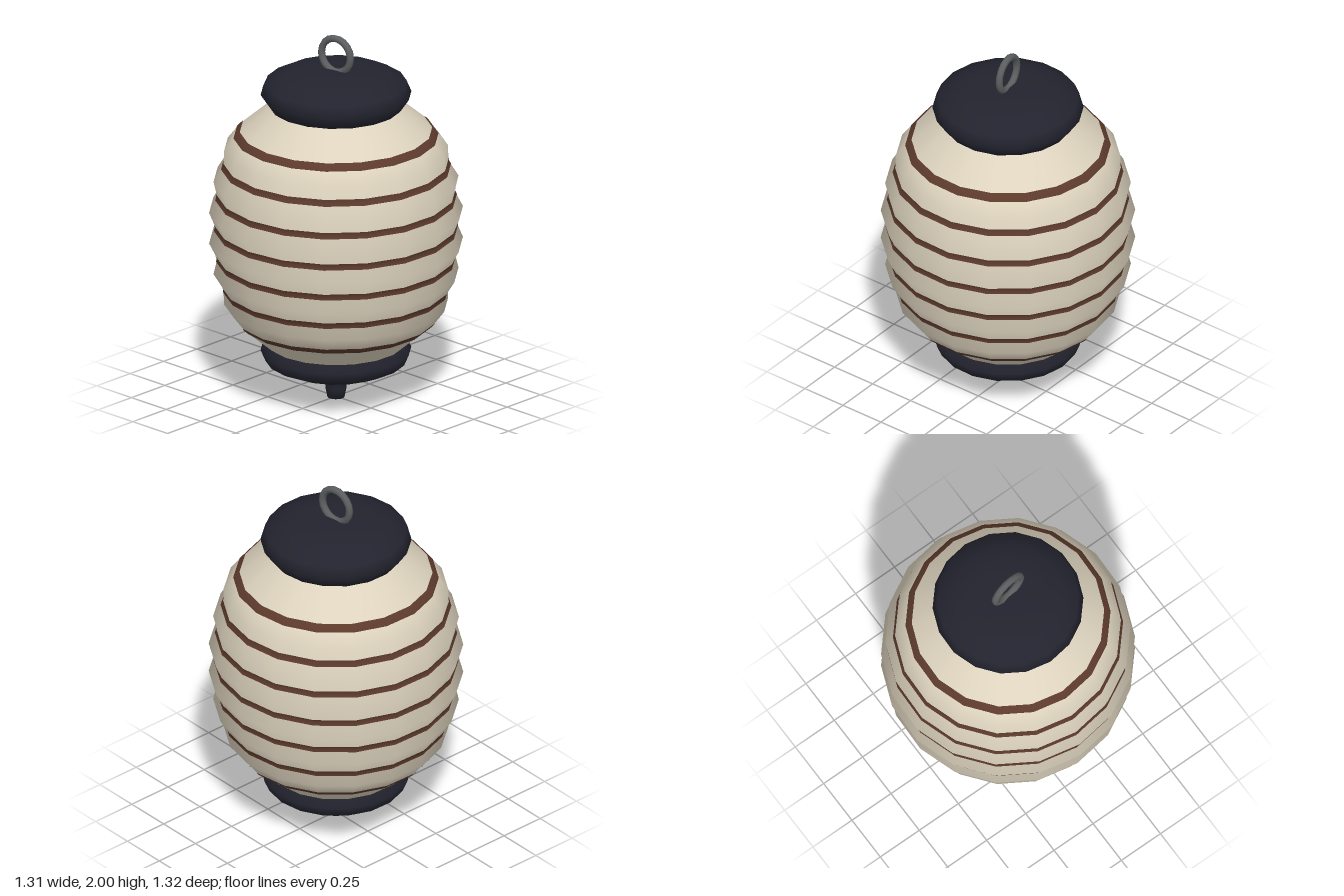
import * as THREE from 'three';

const SIDES = 18;

const material = (name, color) => {
  const m = new THREE.MeshStandardMaterial({ color });
  m.name = name;
  return m;
};

// Turned part from [radius, height] pairs listed bottom to top
function turned(name, profile, mat) {
  const points = profile.map(([r, y]) => new THREE.Vector2(r, y));
  const mesh = new THREE.Mesh(new THREE.LatheGeometry(points, SIDES, Math.PI / 2), mat);
  mesh.name = name;
  return mesh;
}

export function createModel() {
  const paper = material('cream paper', 0xddd3be);
  const bamboo = material('brown rib', 0x5c3a2c);
  const lacquer = material('dark lacquer', 0x23232f);
  const iron = material('grey iron', 0x5c5e60);

  const lantern = new THREE.Group();
  lantern.name = 'paperLantern';

  // Pleated paper body, mirrored about its middle; even entries are grooves
  const middle = 0.95, step = 0.085;
  const radii = [0.625, 0.66, 0.617, 0.637, 0.585, 0.582, 0.517, 0.32];
  const body = [];
  for (let i = -7; i <= 7; i++) {
    const height = Math.abs(i) === 7 ? Math.sign(i) * 0.68 : i * step;
    body.push([radii[Math.abs(i)], middle + height]);
  }
  lantern.add(turned('paperBody', body, paper));

  // Thin ribs that follow the paper in each groove
  const half = 0.017, lift = 0.003;
  for (let i = 1; i < body.length - 1; i += 2) {
    const [r, y] = body[i];
    const toward = ([r2, y2]) => {
      const t = half / Math.abs(y2 - y);
      return [r + (r2 - r) * t + lift, y + (y2 - y) * t];
    };
    lantern.add(turned('rib', [toward(body[i - 1]), [r + lift, y], toward(body[i + 1])], bamboo));
  }

  // Rounded caps
  lantern.add(turned('topCap', [
    [0, 1.61], [0.345, 1.61], [0.392, 1.68], [0.367, 1.74],
    [0.28, 1.785], [0.18, 1.81], [0, 1.81],
  ], lacquer));
  lantern.add(turned('bottomCap', [
    [0, 0.15], [0.18, 0.15], [0.28, 0.168], [0.367, 0.208],
    [0.392, 0.267], [0.345, 0.338], [0, 0.338],
  ], lacquer));

  // Hanging knob under the bottom cap
  lantern.add(turned('knob', [
    [0, 0], [0.045, 0], [0.056, 0.055], [0.048, 0.12], [0.1, 0.152],
  ], lacquer));

  // Hanging ring
  const ring = new THREE.Mesh(new THREE.TorusGeometry(0.092, 0.019, 8, 18), iron);
  ring.name = 'hangingRing';
  ring.position.y = 1.889;
  lantern.add(ring);

  lantern.rotation.y = THREE.MathUtils.degToRad(8.3);
  const model = new THREE.Group();
  model.name = 'lanternModel';
  model.add(lantern);
  return model;
}
